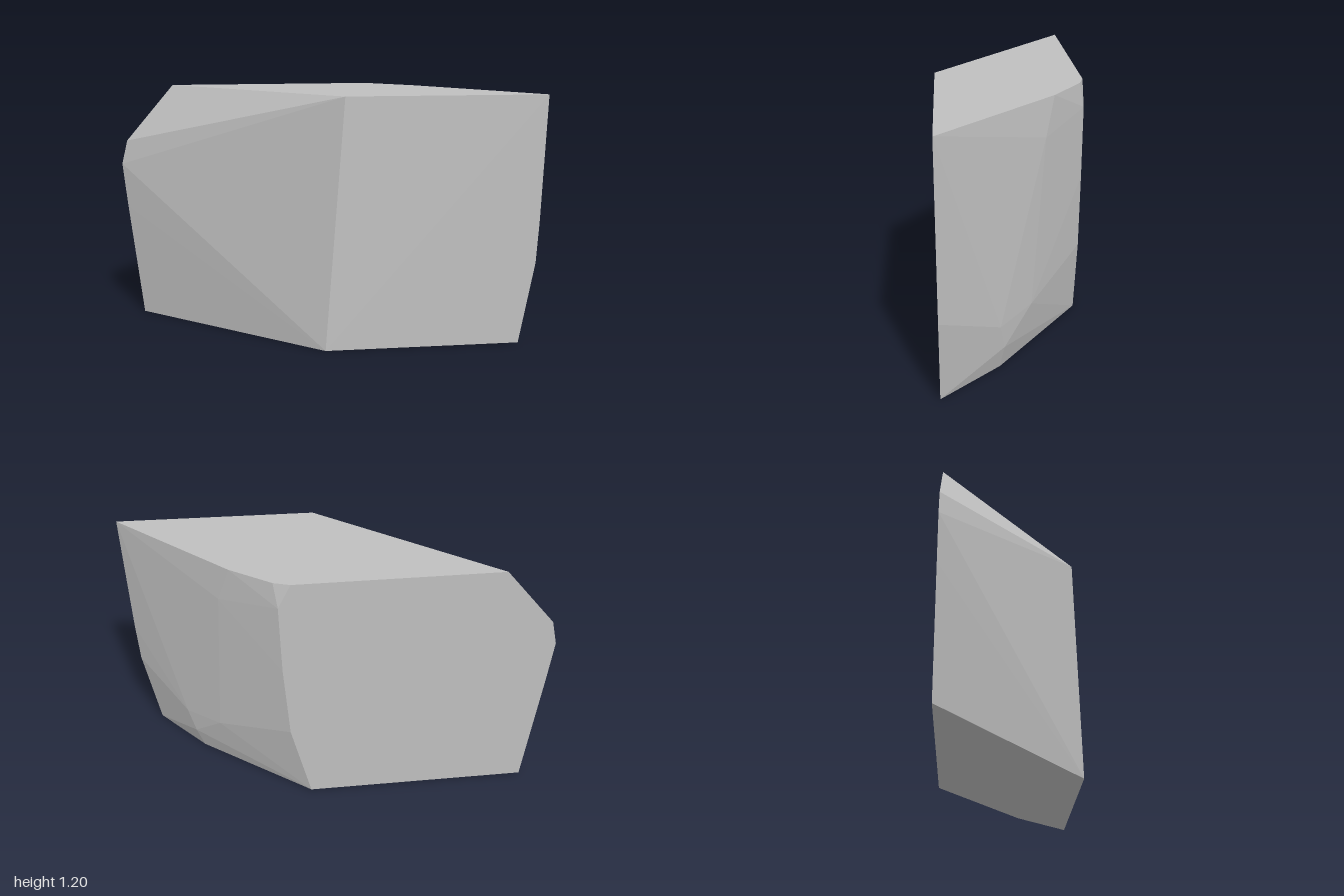
import * as THREE from 'three';
import { ConvexGeometry } from 'three/addons/geometries/ConvexGeometry.js';

export function createModel() {
  const model = new THREE.Group();
  model.name = 'stoneBlock';

  const stone = new THREE.MeshStandardMaterial({ color: 0xbfbfbf });
  stone.name = 'greyStone';

  // Outline of the front face: [x, y, z]
  const front = [
    [-0.03, 0, 0.34], [0.91, 0, 0.34], [0.978, 0.4, 0.34],
    [0.987, 0.6, 0.34], [1, 1.2, 0.34], [0.06, 1.2, 0.325],
  ];

  // Outline of the back face: [x, y]
  const back = [
    [-0.92, 0], [-0.98, 0.58], [-1, 0.8], [-0.97, 0.92], [-0.73, 1.2],
    [0.22, 1.2], [0.278, 1.085], [0.268, 0.75], [0.241, 0.385], [0.147, 0],
  ].map(([x, y]) => [x, y, -0.34]);

  // Chipped bulge of the left side, from the top edge to the bottom edge
  const side = [
    [0.295, 1.2, -0.315], [0.48, 1.2, -0.18], [0.535, 1.03, -0.14],
    [0.58, 0.26, -0.08], [0.745, 0.24, 0.07], [0.75, 0.17, 0.1],
    [0.71, 0.12, 0.05], [0.675, 0, 0.07],
  ];

  const points = [...front, ...back, ...side].map((p) => new THREE.Vector3(...p));
  const block = new THREE.Mesh(new ConvexGeometry(points), stone);
  block.name = 'block';
  model.add(block);
  return model;
}
